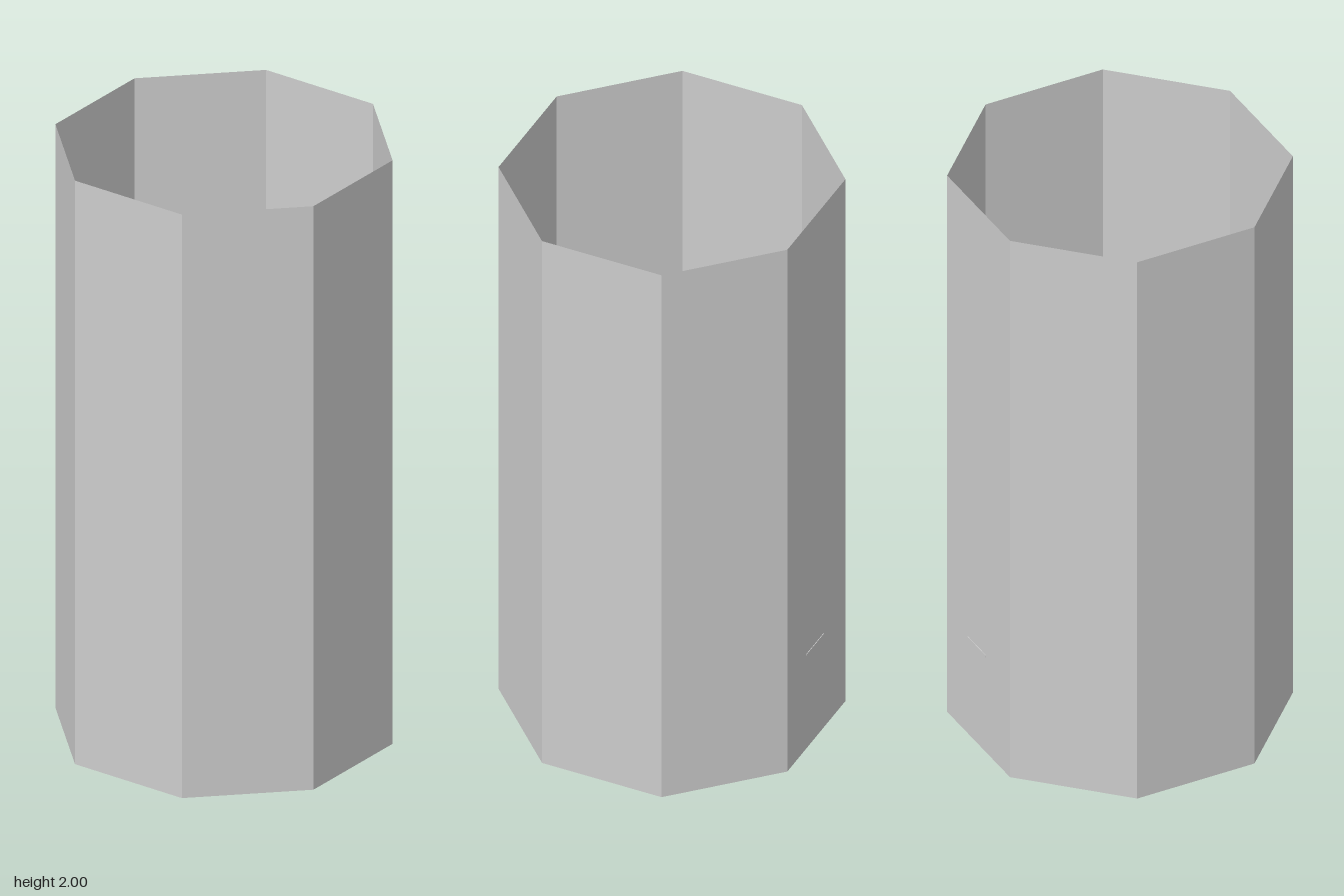
import * as THREE from 'three';

export function createModel() {
  const model = new THREE.Group();
  const grey = new THREE.MeshStandardMaterial({ color: 0xcccccc, flatShading: true, side: THREE.DoubleSide });
  grey.name = 'plain grey';

  const add = (name, geometry, x = 0, y = 0, z = 0, parent = model) => {
    const mesh = new THREE.Mesh(geometry, grey);
    mesh.name = name;
    mesh.position.set(x, y, z);
    parent.add(mesh);
    return mesh;
  };
  // Box given by its low and high limits on each axis
  const box = (name, x0, x1, y0, y1, z0, z1, parent) =>
    add(name, new THREE.BoxGeometry(x1 - x0, y1 - y0, z1 - z0),
      (x0 + x1) / 2, (y0 + y1) / 2, (z0 + z1) / 2, parent);

  // Octagonal outer casing, open at the top, with a flat bottom
  const corner = 1 / Math.cos(Math.PI / 8);
  const radius = 0.497 * corner;
  add('casing', new THREE.CylinderGeometry(radius, radius, 2, 8, 1, true, Math.PI / 8), 0, 1, 0);
  const bottom = add('bottom', new THREE.CircleGeometry(radius, 8, Math.PI / 8));
  bottom.rotation.x = Math.PI / 2;
  const floor = add('floor', new THREE.CircleGeometry(radius - 0.005, 8, Math.PI / 8), 0, 0.03, 0);
  floor.rotation.x = -Math.PI / 2;

  // Inner wall lining, running from one octagon corner to another
  const lining = (name, first, last, height) => {
    const points = [];
    const point = (k, apothem) => {
      const a = Math.PI / 8 + k * Math.PI / 4;
      points.push(new THREE.Vector2(Math.cos(a) * apothem * corner, -Math.sin(a) * apothem * corner));
    };
    for (let k = first; k <= last; k++) point(k, 0.494);
    for (let k = last; k >= first; k--) point(k, 0.443);
    const g = new THREE.ExtrudeGeometry(new THREE.Shape(points), { depth: height, bevelEnabled: false });
    add(name, g.rotateX(-Math.PI / 2), 0, 0.02, 0);
  };
  lining('highLining', 4, 10, 0.6);
  lining('lowLining', 2, 4, 0.5);

  // Engine block with three cylinder caps
  const engine = new THREE.Group();
  engine.name = 'engine';
  model.add(engine);
  box('engineBlock', -0.142, 0.142, 0.08, 0.46, -0.418, 0.315, engine);
  for (const z of [-0.22, -0.015, 0.19]) {
    add('cylinderCap', new THREE.CylinderGeometry(0.09, 0.09, 0.06, 14), 0, 0.485, z, engine);
  }

  // Sloping mounts along both sides
  for (const side of [-1, 1]) {
    const s = new THREE.Shape();
    s.moveTo(side * 0.14, 0.03);
    s.lineTo(side * 0.232, 0.03);
    s.lineTo(side * 0.232, 0.09);
    s.lineTo(side * 0.14, 0.22);
    for (const z of [-0.313, -0.078, 0.157]) {
      add('sideMount', new THREE.ExtrudeGeometry(s, { depth: 0.095, bevelEnabled: false }), 0, 0, z, engine);
    }
  }

  // Small housings on the block sides
  box('rearHousing', -0.19, -0.14, 0.26, 0.4, -0.341, -0.22, engine);
  box('middleHousing', -0.19, -0.14, 0.26, 0.4, -0.105, 0.02, engine);
  box('frontHousing', -0.268, -0.14, 0.24, 0.4, 0.08, 0.19, engine);
  box('leftHousing', 0.14, 0.182, 0.26, 0.4, -0.155, 0.033, engine);

  // Flywheel, hub and rear pulley on the shaft line
  for (const [name, r, z0, z1] of [
    ['flywheel', 0.185, 0.335, 0.402], ['hub', 0.138, 0.312, 0.337], ['rearPulley', 0.124, -0.437, -0.416]]) {
    const g = new THREE.CylinderGeometry(r, r, z1 - z0, 12).rotateX(Math.PI / 2);
    add(name, g, 0, 0.25, (z0 + z1) / 2, engine);
  }

  // Cabinet on the right wall and a diagonal locker in the rear corner
  box('wallCabinet', -0.443, -0.386, 0.03, 0.42, -0.19, 0.197);
  box('cabinetPanel', -0.388, -0.367, 0.12, 0.3, 0.08, 0.19);
  const locker = box('cornerLocker', -0.113, 0.113, 0.03, 0.4, -0.033, 0.033);
  locker.position.set(-0.238, 0.215, -0.345);
  locker.rotation.y = Math.PI / 4;

  // Flat outlet just reaching through the back wall
  box('outlet', -0.05, 0.07, 0.355, 0.362, -0.499, -0.41);

  return model;
}
